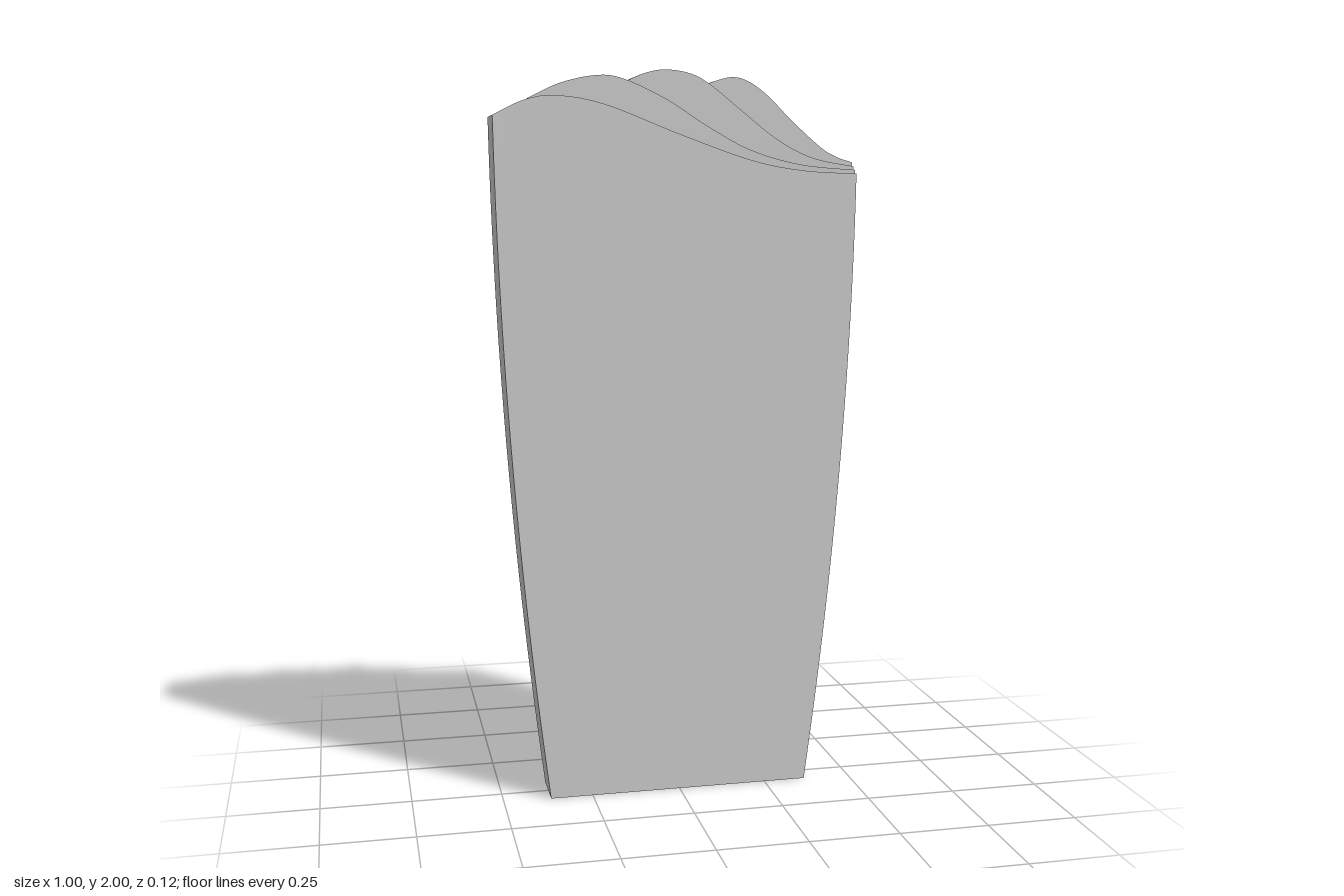
import * as THREE from 'three';
import { toCreasedNormals } from 'three/addons/utils/BufferGeometryUtils.js';

const BACK = -0.0625;
const LEFT = -0.5, RIGHT = 0.497;

// Crest curve of each layer, front to back, with the z of its front face
const layers = [
  { name: 'frontPanel', z: 0.0625, crest: [[-0.5, 1.875], [-0.415, 1.915], [-0.33, 1.927], [-0.2, 1.905], [0, 1.83], [0.2, 1.762], [0.35, 1.735], [0.497, 1.728]] },
  { name: 'firstWave', z: 0.048, crest: [[-0.415, 1.915], [-0.32, 1.96], [-0.215, 1.982], [-0.14, 1.97], [-0.03, 1.92], [0.08, 1.852], [0.2, 1.79], [0.34, 1.752], [0.497, 1.738]] },
  { name: 'secondWave', z: 0.035, crest: [[-0.14, 1.968], [-0.09, 1.99], [-0.035, 2], [0.03, 1.992], [0.085, 1.966], [0.18, 1.893], [0.28, 1.818], [0.38, 1.77], [0.497, 1.748]] },
  { name: 'backSlab', z: 0.022, crest: [[0.085, 1.966], [0.15, 1.984], [0.2, 1.973], [0.255, 1.935], [0.325, 1.868], [0.405, 1.8], [0.45, 1.774], [0.497, 1.759]] },
];

// Smooth crest height at x; points are interpolated by a spline
function sampleCrest(points) {
  return new THREE.SplineCurve(points.map(([x, y]) => new THREE.Vector2(x, y))).getPoints(96);
}

function heightAt(samples, x) {
  if (x < samples[0].x) return -Infinity;
  for (let i = 1; i < samples.length; i++) {
    const a = samples[i - 1], b = samples[i];
    if (x <= b.x + 1e-6) return THREE.MathUtils.lerp(a.y, b.y, (x - a.x) / (b.x - a.x));
  }
  return samples[samples.length - 1].y;
}

// Tapered, slightly bowed outline closed by the highest of the given crests
function layerShape(crests) {
  const shape = new THREE.Shape();
  shape.moveTo(-0.368, 0);
  shape.lineTo(0.368, 0);
  shape.quadraticCurveTo(0.488, 0.9, RIGHT, 1.725);
  const xs = crests.map((c) => c[0].x);
  for (let i = 0; i <= 100; i++) xs.push(THREE.MathUtils.lerp(LEFT, RIGHT, i / 100));
  const sorted = [...new Set(xs)].sort((a, b) => b - a);
  for (const x of sorted) shape.lineTo(x, Math.max(...crests.map((c) => heightAt(c, x))));
  shape.quadraticCurveTo(-0.488, 0.95, -0.368, 0);
  return shape;
}

export function createModel() {
  const group = new THREE.Group();
  group.name = 'wavyTopSlab';
  const material = new THREE.MeshStandardMaterial({ color: 0xcccccc });
  const crests = layers.map((l) => sampleCrest(l.crest));

  // Each layer sits on the face of the one behind it
  layers.forEach((layer, i) => {
    const z0 = i + 1 < layers.length ? layers[i + 1].z : BACK;
    const geometry = new THREE.ExtrudeGeometry(layerShape(crests.slice(0, i + 1)), {
      depth: layer.z - z0, bevelEnabled: false, curveSegments: 24,
    });
    geometry.translate(0, 0, z0);
    const mesh = new THREE.Mesh(toCreasedNormals(geometry, 0.3), material);
    mesh.name = layer.name;
    group.add(mesh);
  });
  return group;
}
